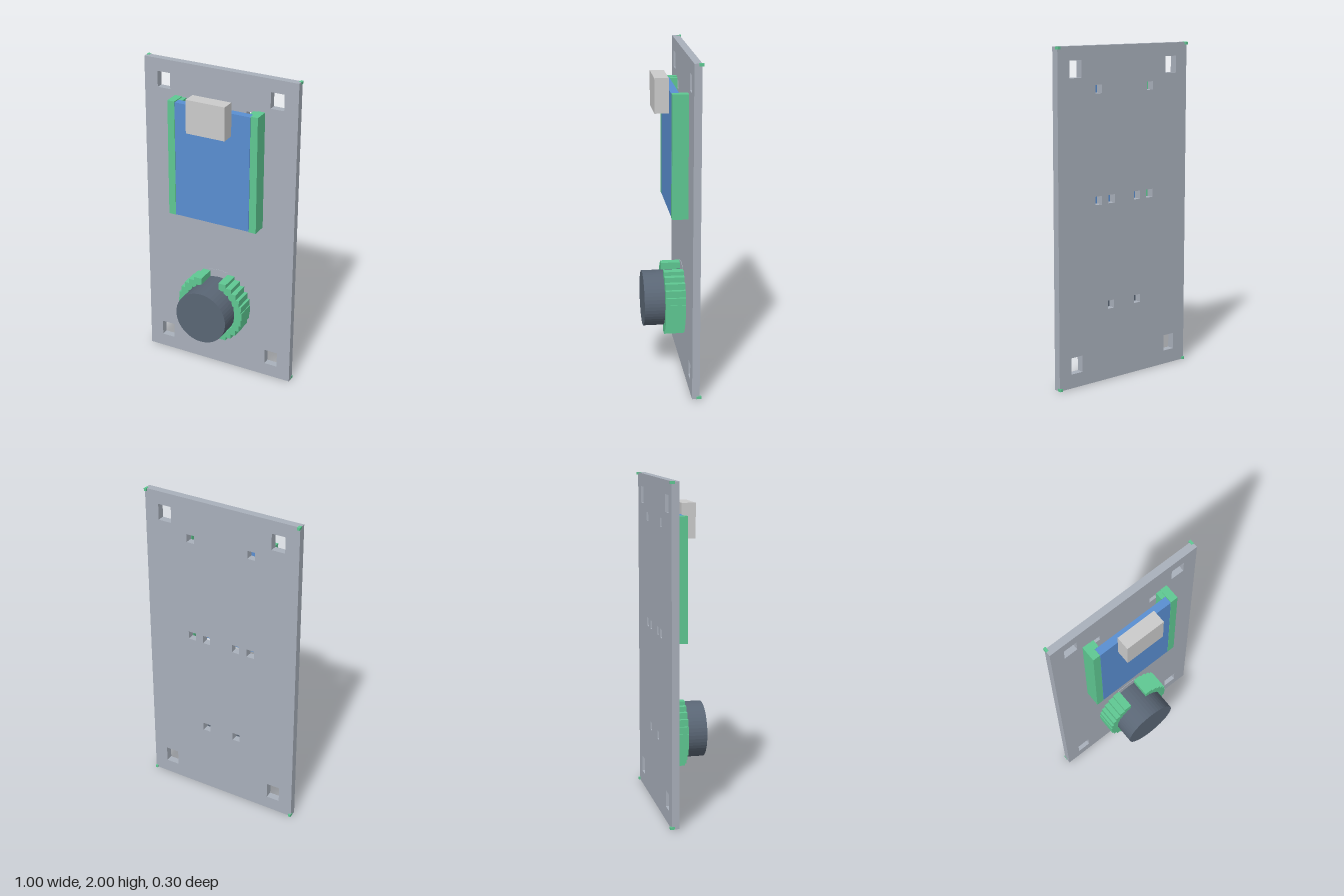
import * as THREE from 'three';

const mat = (color) => new THREE.MeshStandardMaterial({ color, flatShading: true });

export function createModel() {
  const model = new THREE.Group();
  const plateGrey = mat(0xa9b0bb), green = mat(0x5fc892), blue = mat(0x5a8fd2);
  const dark = mat(0x5a6675), grey = mat(0xcccccc);

  // Box given by its lower and upper limits
  const box = (name, material, [x0, y0, z0], [x1, y1, z1], parent = model) => {
    const mesh = new THREE.Mesh(new THREE.BoxGeometry(x1 - x0, y1 - y0, z1 - z0), material);
    mesh.position.set((x0 + x1) / 2, (y0 + y1) / 2, (z0 + z1) / 2);
    mesh.name = name;
    parent.add(mesh);
    return mesh;
  };

  const BACK = -0.14, FRONT = -0.095;

  // Back plate with mounting holes and wire holes
  const outline = new THREE.Shape([
    new THREE.Vector2(-0.5, 0), new THREE.Vector2(0.5, 0),
    new THREE.Vector2(0.5, 2), new THREE.Vector2(-0.5, 2),
  ]);
  const cutHole = (x, y, w, h) => outline.holes.push(new THREE.Path([
    new THREE.Vector2(x - w / 2, y - h / 2), new THREE.Vector2(x - w / 2, y + h / 2),
    new THREE.Vector2(x + w / 2, y + h / 2), new THREE.Vector2(x + w / 2, y - h / 2),
  ]));
  for (const s of [-1, 1]) {
    for (const y of [0.135, 1.87]) cutHole(s * 0.37, y, 0.085, 0.1);
    for (const [x, y] of [[0.2, 1.75], [0.2, 1.1], [0.1, 1.1], [0.105, 0.46]]) cutHole(s * x, y, 0.05, 0.05);
  }
  const plate = new THREE.Mesh(
    new THREE.ExtrudeGeometry(outline, { depth: FRONT - BACK, bevelEnabled: false }), plateGrey);
  plate.position.z = BACK;
  plate.name = 'backPlate';
  model.add(plate);

  // Small nubs on the rear corners
  for (const sx of [-1, 1]) for (const y of [-0.001, 1.985]) {
    const x = sx * 0.493;
    box('cornerNub', green, [x - 0.008, y, -0.15], [x + 0.008, y + 0.016, -0.122]);
  }

  // Rails with a ledge that carries the circuit board
  for (const [side, s] of [['left', 1], ['right', -1]]) {
    const rail = new THREE.Group();
    rail.name = side + 'Rail';
    model.add(rail);
    const span = (a, b) => [Math.min(s * a, s * b), Math.max(s * a, s * b)];
    const [w0, w1] = span(0.248, 0.294), [l0, l1] = span(0.22, 0.248);
    box('railWall', green, [w0, 1.05, FRONT], [w1, 1.79, 0], rail);
    box('railLedge', green, [l0, 1.05, FRONT], [l1, 1.785, -0.048], rail);
  }

  // Circuit board and its connector
  box('circuitBoard', blue, [-0.246, 1.053, -0.047], [0.246, 1.785, 0]);
  box('connector', grey, [-0.126, 1.645, 0], [0.126, 1.853, 0.084]);

  // Round holder: a stepped ring of square posts, open at top and bottom
  const holder = new THREE.Group();
  holder.name = 'roundHolder';
  model.add(holder);
  const COUNT = 28, CY = 0.46, R = 0.195, H = 0.025;
  for (let i = 0; i < COUNT; i++) {
    const a = (i / COUNT) * Math.PI * 2;
    const x = R * Math.cos(a), y = CY + R * Math.sin(a);
    const inGap = Math.abs(Math.sin(a)) > 0.95;
    box(inGap ? 'gapPad' : 'holderPost', inGap ? plateGrey : green,
      [x - H, y - H, FRONT], [x + H, y + H, inGap ? FRONT + 0.003 : 0.026], holder);
  }

  // Round body held by the ring
  const body = new THREE.Mesh(new THREE.CylinderGeometry(0.17, 0.17, 0.245, 48), dark);
  body.rotation.x = Math.PI / 2;
  body.position.set(0, CY, 0.0275);
  body.name = 'roundBody';
  model.add(body);

  return model;
}
